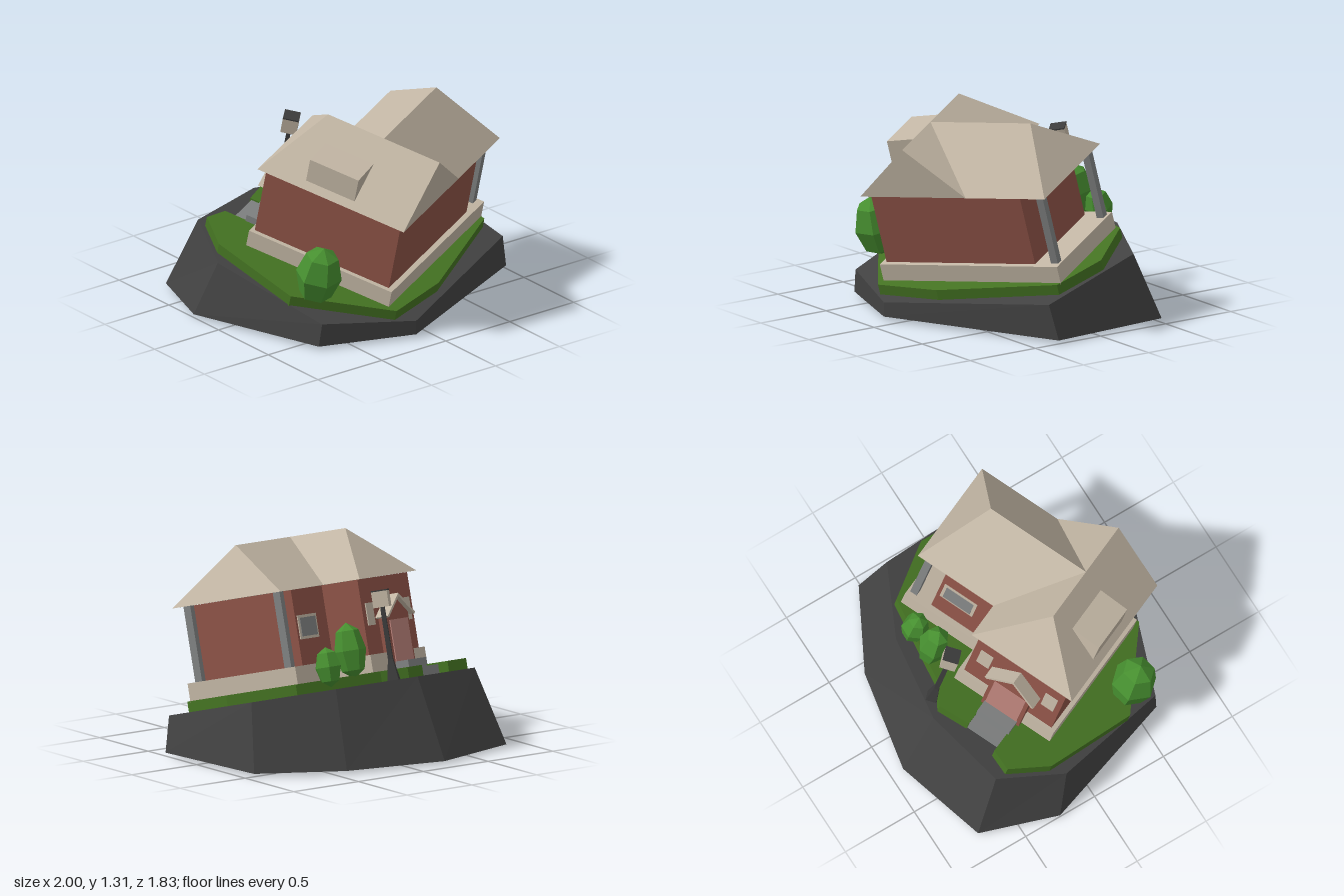
import * as THREE from 'three';
import { mergeGeometries } from 'three/addons/utils/BufferGeometryUtils.js';

const mat = (name, color, extra = {}) =>
  Object.assign(new THREE.MeshStandardMaterial({ color, flatShading: true, ...extra }), { name });

// Flat-faced geometry from polygons (corners counter-clockwise from outside)
function faces(polys) {
  const pos = [];
  for (const p of polys)
    for (let i = 1; i < p.length - 1; i++) pos.push(...p[0], ...p[i], ...p[i + 1]);
  const g = new THREE.BufferGeometry();
  g.setAttribute('position', new THREE.Float32BufferAttribute(pos, 3));
  g.computeVertexNormals();
  return g;
}

// Side quads between two matching rings
const skirt = (low, high) => low.map((p, i) => {
  const j = (i + 1) % low.length;
  return [low[j], p, high[i], high[j]];
});

const planShape = (pts) => new THREE.Shape(pts.map(([x, z]) => new THREE.Vector2(x, -z)));

// Vertical prism from a plan outline, optionally with a hole
function prism(pts, y0, y1, hole) {
  const s = planShape(pts);
  if (hole) s.holes.push(planShape(hole));
  return new THREE.ExtrudeGeometry(s, { depth: y1 - y0, bevelEnabled: false })
    .rotateX(-Math.PI / 2).translate(0, y0, 0);
}

// Prism along z from an elevation outline
const section = (pts, z0, z1) =>
  new THREE.ExtrudeGeometry(new THREE.Shape(pts.map((p) => new THREE.Vector2(...p))),
    { depth: z1 - z0, bevelEnabled: false }).translate(0, 0, z0);

const box = (x0, x1, y0, y1, z0, z1) =>
  new THREE.BoxGeometry(x1 - x0, y1 - y0, z1 - z0)
    .translate((x0 + x1) / 2, (y0 + y1) / 2, (z0 + z1) / 2);

// L-shaped plan: main block plus wing on the +x side
const ell = (x0, xm, x1, zb, zw, zf) => [[x0, zb], [xm, zb], [xm, zw], [x1, zw], [x1, zf], [x0, zf]];

export function createModel() {
  const rock = mat('rock', 0x424242, { side: THREE.DoubleSide });
  const grass = mat('grass', 0x447322, { side: THREE.DoubleSide });
  const leaf = mat('leaves', 0x479030);
  const brick = mat('brick', 0x8e5347);
  const stone = mat('pale stone', 0xc2b6a4);
  const grey = mat('grey stone', 0x808282);
  const pink = mat('door pink', 0xb88078);
  const iron = mat('dark iron', 0x3c3c3c);

  const model = new THREE.Group();
  model.name = 'hillsideHouse';
  const slope = new THREE.Group(); // everything standing on the hillside leans with it
  slope.name = 'slope';
  const tilt = Math.PI / 12;
  slope.rotation.x = tilt;
  const house = new THREE.Group();
  house.name = 'house';
  house.rotation.y = 0.447;
  slope.add(house);
  model.add(slope);
  const add = (parent, name, geo, material) => {
    const m = new THREE.Mesh(geo, material);
    m.name = name;
    parent.add(m);
    return m;
  };

  // Rock base: level foot, slanted top, open underneath
  const foot = [[-1, -.25], [-.834, -.743], [-.23, -.914], [.428, -.786], [.94, -.513], [1, .32], [-.11, .844], [-.706, .63]]
    .map(([x, z]) => [x, .033, z]);
  const crown = [[-.897, -.14], [-.733, -.551], [-.2, -.675], [.37, -.594], [.85, -.364], [.946, .356], [-.11, .844], [-.685, .637]]
    .map(([x, z]) => [x, (.338 - z * Math.sin(tilt)) / Math.cos(tilt), z]);
  add(model, 'rockBase', faces([...skirt(foot, crown), [...crown].reverse()]), rock);

  // Lawn with a notch for the steps
  const lawn = [[-.834, -.326], [-.73, -.59], [-.583, -.595], [-.481, -.379], [-.278, -.477], [-.353, -.64], [-.17, -.74],
    [-.02, -.657], [.58, -.585], [.856, -.223], [.885, .15], [.2, .585], [-.23, .72], [-.754, .316]];
  const ring = (y) => lawn.map(([x, z]) => [x, y, z]);
  const lawnTop = new THREE.ShapeGeometry(planShape(lawn)).rotateX(-Math.PI / 2).translate(0, .405, 0).toNonIndexed();
  lawnTop.deleteAttribute('uv');
  add(slope, 'lawn', mergeGeometries([lawnTop, faces(skirt(ring(.205), ring(.405)))]), grass);

  // Bushes
  for (const [x, y, z, r, h] of [[-.62, .575, .385, .145, .2], [.155, .56, -.62, .1, .175], [.34, .48, -.62, .088, .125]]) {
    const b = add(slope, 'bush', new THREE.SphereGeometry(1, 6, 4), leaf);
    b.position.set(x, y, z);
    b.scale.set(r, h, r);
    b.rotation.y = x * 3;
  }

  // Street lamp
  const lamp = new THREE.Group();
  lamp.name = 'lamp';
  lamp.position.set(-.07, .338, -.716);
  slope.add(lamp);
  add(lamp, 'lampFoot', new THREE.CylinderGeometry(.022, .05, .13, 4).translate(0, .065, 0), iron);
  add(lamp, 'lampPost', new THREE.CylinderGeometry(.018, .022, .46, 4).translate(0, .23, 0), iron);
  add(lamp, 'lampHead', new THREE.CylinderGeometry(.07, .07, .1, 4).translate(0, .507, 0), stone);
  add(lamp, 'lampCap', new THREE.CylinderGeometry(.071, .071, .008, 4).translate(0, .56, 0), iron);

  // Plinth and hollow walls
  add(house, 'plinth', prism(ell(-.51, .2, .745, -.515, -.275, .49), .395, .515), stone);
  add(house, 'walls', prism(ell(-.48, .17, .573, -.49, -.235, .455), .29, .986,
    ell(-.46, .15, .553, -.47, -.215, .435)), brick);

  // Roof: gable at the front, hips at the back and at the wing end
  const e = .987, r = 1.313;
  const A = [-.53, e, -.53], B = [-.53, e, .5], K = [.215, e, .5], R = [.775, e, .5], G = [.775, e, -.272],
    J = [.215, e, -.272], E = [.215, e, -.53];
  const C = [-.155, r, .5], I = [-.155, r, .108], D = [-.155, r, -.286], H = [.553, r, .108];
  add(house, 'roof', faces([[A, B, C, D], [B, K, C], [C, K, I], [K, R, H, I], [R, G, H], [G, J, I, H],
    [J, E, D, I], [E, A, D], [A, E, K, B], [J, G, R, K]]), stone);
  add(house, 'dormer', section([[-.487, 1.0], [-.27, 1.19], [-.285, 1.2], [-.487, 1.182]], -.217, .124), stone);

  // Porch columns
  for (const z of [.42, -.215])
    add(house, 'porchColumn', box(.68, .728, .51, .988, z - .024, z + .024), grey);

  // Entrance: brick bay, door, small gable roof and steps
  const c = -.16;
  add(house, 'entranceBay', section([[c - .14, .4], [c + .14, .4], [c + .14, .745], [c, .85], [c - .14, .745]], -.55, -.48), brick);
  add(house, 'door', box(c - .115, c + .115, .45, .71, -.557, -.549), pink);
  add(house, 'entranceRoof', section([[c - .18, .735], [c - .165, .727], [c, .848], [c + .165, .727], [c + .18, .735], [c, .868]],
    -.58, -.48), stone);
  add(house, 'upperStep', box(c - .12, c + .12, .335, .45, -.64, -.52), grey);
  add(house, 'lowerStep', box(c - .12, c + .12, .335, .395, -.72, -.63), grey);

  // Windows on the back walls
  for (const s of [-1, 1])
    add(house, 'window', box(c + s * .24 - .045, c + s * .24 + .045, .695, .835, -.497, -.489), stone);
  add(house, 'wingWindowFrame', box(.31, .55, .675, .825, -.241, -.234), stone);
  add(house, 'wingWindowPane', box(.33, .53, .692, .808, -.245, -.24), grey);

  return model;
}
